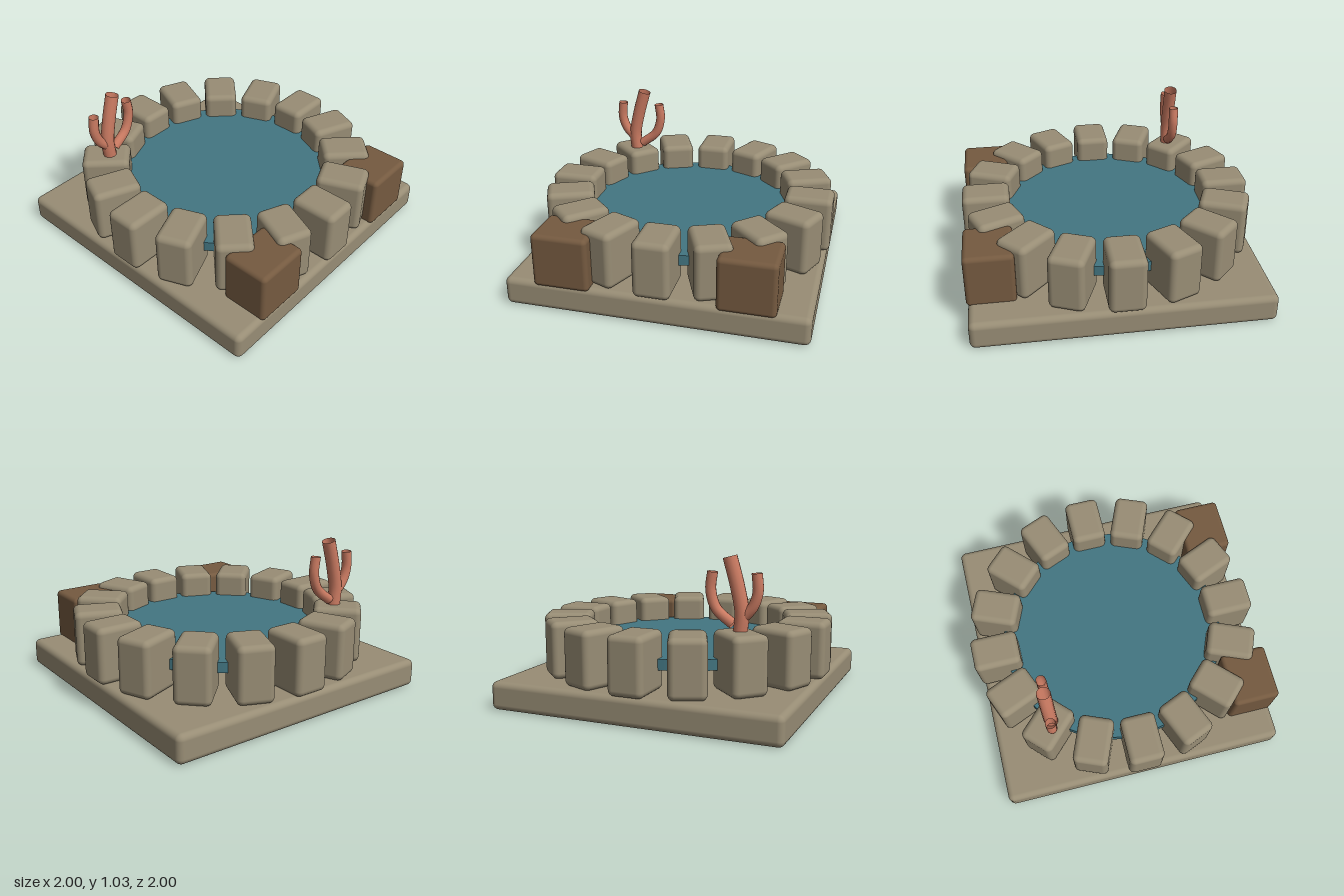
import * as THREE from 'three';
import { RoundedBoxGeometry } from 'three/addons/geometries/RoundedBoxGeometry.js';

function material(name, color, side = THREE.FrontSide) {
  const m = new THREE.MeshStandardMaterial({ color, side });
  m.name = name;
  return m;
}

export function createModel() {
  const stone = material('sandstone', 0x988d75);
  const wood = material('brown wood', 0x755a40);
  const water = material('pool water', 0x437682);
  const coralPink = material('coral', 0xcb7b62, THREE.DoubleSide);

  const model = new THREE.Group();
  model.name = 'coralPool';

  function add(name, geometry, mat, x = 0, y = 0, z = 0, parent = model) {
    const mesh = new THREE.Mesh(geometry, mat);
    mesh.name = name;
    mesh.position.set(x, y, z);
    parent.add(mesh);
    return mesh;
  }

  // Square base slab
  add('base', new RoundedBoxGeometry(1.965, 0.19, 1.965, 4, 0.04), stone, 0, 0.095, 0);

  // Water disc held between the rim stones
  add('water', new THREE.CylinderGeometry(0.78, 0.78, 0.07, 48), water, 0, 0.358, 0);

  // Ring of rim stones, each pointing outward
  const rim = new THREE.Group();
  rim.name = 'rimStones';
  model.add(rim);
  const stoneGeometry = new RoundedBoxGeometry(0.24, 0.38, 0.325, 4, 0.04);
  for (let i = 0; i < 16; i++) {
    const a = (i / 16) * Math.PI * 2;
    const s = add('rimStone', stoneGeometry, stone, Math.sin(a) * 0.8375, 0.378, Math.cos(a) * 0.8375, rim);
    s.rotation.y = a;
  }

  // Two wooden crates at the front corners
  const crateGeometry = new RoundedBoxGeometry(0.37, 0.36, 0.32, 4, 0.03);
  for (const side of [-1, 1]) {
    add(side < 0 ? 'rightCrate' : 'leftCrate', crateGeometry, wood, side * 0.589, 0.35, 0.833);
  }

  // Coral: one trunk with two upturned branches, all in one plane
  const coral = new THREE.Group();
  coral.name = 'coral';
  coral.position.z = -0.565;
  model.add(coral);
  const branches = [
    ['coralTrunk', 0.046, [[-0.58, 0.55], [-0.59, 0.68], [-0.56, 0.84], [-0.51, 1.02]]],
    ['coralRightBranch', 0.034, [[-0.595, 0.645], [-0.66, 0.72], [-0.69, 0.81], [-0.683, 0.925]]],
    ['coralLeftBranch', 0.034, [[-0.535, 0.605], [-0.425, 0.695], [-0.387, 0.81], [-0.398, 0.925]]],
  ];
  for (const [name, radius, points] of branches) {
    const path = new THREE.CatmullRomCurve3(points.map(([x, y]) => new THREE.Vector3(x, y, 0)));
    add(name, new THREE.TubeGeometry(path, 20, radius, 12), coralPink, 0, 0, 0, coral);
  }

  return model;
}
